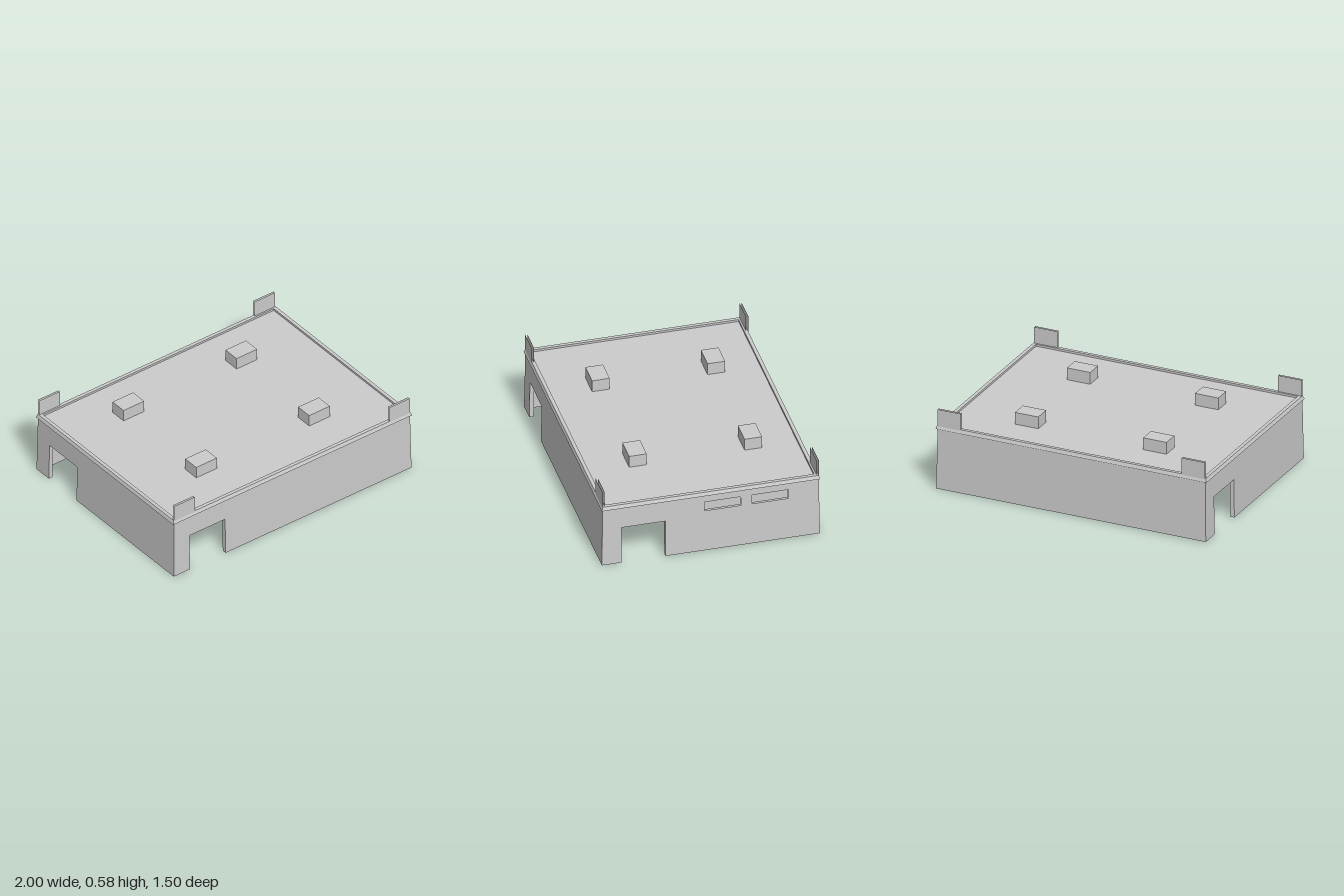
import * as THREE from 'three';

const WALL_TOP = 0.435, THICK = 0.03, HALF_X = 0.988, HALF_Z = 0.744;

export function createModel() {
  const model = new THREE.Group();
  // Walls and plates are open sheets, so both sides show
  const grey = new THREE.MeshStandardMaterial({ color: 0xcbcbcb, side: THREE.DoubleSide });
  grey.name = 'concrete grey';

  function add(name, geometry) {
    const mesh = new THREE.Mesh(geometry, grey);
    mesh.name = name;
    model.add(mesh);
    return mesh;
  }

  // Walls lean out very slightly towards the ground
  function flare(geometry) {
    const p = geometry.attributes.position;
    for (let i = 0; i < p.count; i++) {
      const out = 0.007 * (1 - p.getY(i) / WALL_TOP);
      const x = p.getX(i), z = p.getZ(i);
      if (Math.abs(x) > 0.93) p.setX(i, x + Math.sign(x) * out);
      if (Math.abs(z) > 0.69) p.setZ(i, z + Math.sign(z) * out);
    }
    geometry.computeVertexNormals();
    return geometry;
  }

  function quads(list) {
    const geometry = new THREE.BufferGeometry();
    const verts = list.flatMap(([a, b, c, d]) => [...a, ...b, ...c, ...a, ...c, ...d]);
    geometry.setAttribute('position', new THREE.Float32BufferAttribute(verts, 3));
    geometry.computeVertexNormals();
    return geometry;
  }

  const vectors = pts => pts.map(([x, y]) => new THREE.Vector2(x, y));

  // Double-skinned wall, open underneath, with an optional doorway and recessed windows
  function wall(name, half, distance, turn, door, windows = []) {
    const place = g => flare(g.rotateY(turn));
    const opening = [];
    if (door) {
      const [a, b, h] = door;
      opening.push([a, 0], [a, h], [b, h], [b, 0]);
    }
    const skin = w => new THREE.Shape(vectors(
      [[-w, 0], ...opening, [w, 0], [w, WALL_TOP], [-w, WALL_TOP]]));

    const outer = skin(half);
    for (const [a, b] of windows) {
      outer.holes.push(new THREE.Path(vectors([[a, 0.311], [a, 0.379], [b, 0.379], [b, 0.311]])));
      const pane = new THREE.PlaneGeometry(b - a, 0.068);
      add('windowPane', place(pane.translate((a + b) / 2, 0.345, distance - 0.012)));
    }
    const inner = skin(half - THICK);
    const inside = distance - THICK;
    add(name + 'Outside', place(new THREE.ShapeGeometry(outer).translate(0, 0, distance)));
    add(name + 'Inside', place(new THREE.ShapeGeometry(inner).translate(0, 0, inside)));

    // Jambs and lintel of the doorway
    if (door) {
      const faces = opening.slice(1).map((p, i) => {
        const q = opening[i];
        return [[...q, inside], [...p, inside], [...p, distance], [...q, distance]];
      });
      add(name + 'Doorway', place(quads(faces)));
    }
  }

  const sideDoor = [-0.615, -0.313, 0.275];
  wall('frontWall', HALF_X, HALF_Z, 0, [-0.86, -0.562, 0.277]);
  wall('backWall', HALF_X, HALF_Z, Math.PI, null);
  wall('leftWall', HALF_Z, HALF_X, Math.PI / 2, sideDoor, [[-0.044, 0.207], [0.284, 0.535]]);
  wall('rightWall', HALF_Z, HALF_X, -Math.PI / 2, sideDoor);

  // Flat roof slab
  add('roof', new THREE.BoxGeometry(1.95, 0.014, 1.46).translate(0, 0.437, 0));

  // Sloped rim: a closed cross-section carried round the four corners
  const profile = [[0.966, 0.433], [1, 0.433], [0.991, 0.459], [0.966, 0.459], [0.966, 0.433]];
  const corners = [[1, 1], [1, -1], [-1, -1], [-1, 1]];
  const point = ([r, y], k) => {
    const [sx, sz] = corners[k % 4];
    return [sx * r, y, sz * (r - 0.248)];
  };
  const rimFaces = [];
  for (let i = 0; i < profile.length - 1; i++) {
    for (let k = 0; k < 4; k++) {
      rimFaces.push([point(profile[i], k), point(profile[i], k + 1),
        point(profile[i + 1], k + 1), point(profile[i + 1], k)]);
    }
  }
  add('roofRim', quads(rimFaces));

  // Four roof vents
  for (const x of [-0.485, 0.461]) {
    for (const z of [-0.413, 0.382]) {
      add('roofVent', new THREE.BoxGeometry(0.172, 0.09, 0.121)).position.set(x, 0.485, z);
    }
  }

  // Upright plates at the corners, each a pair of thin sheets
  for (const sx of [-1, 1]) {
    for (const z of [-0.745, -0.73, 0.73, 0.745]) {
      const plate = add('cornerPlate', new THREE.PlaneGeometry(0.173, 0.139));
      plate.position.set(sx * 0.901, 0.5065, z);
    }
  }
  return model;
}
